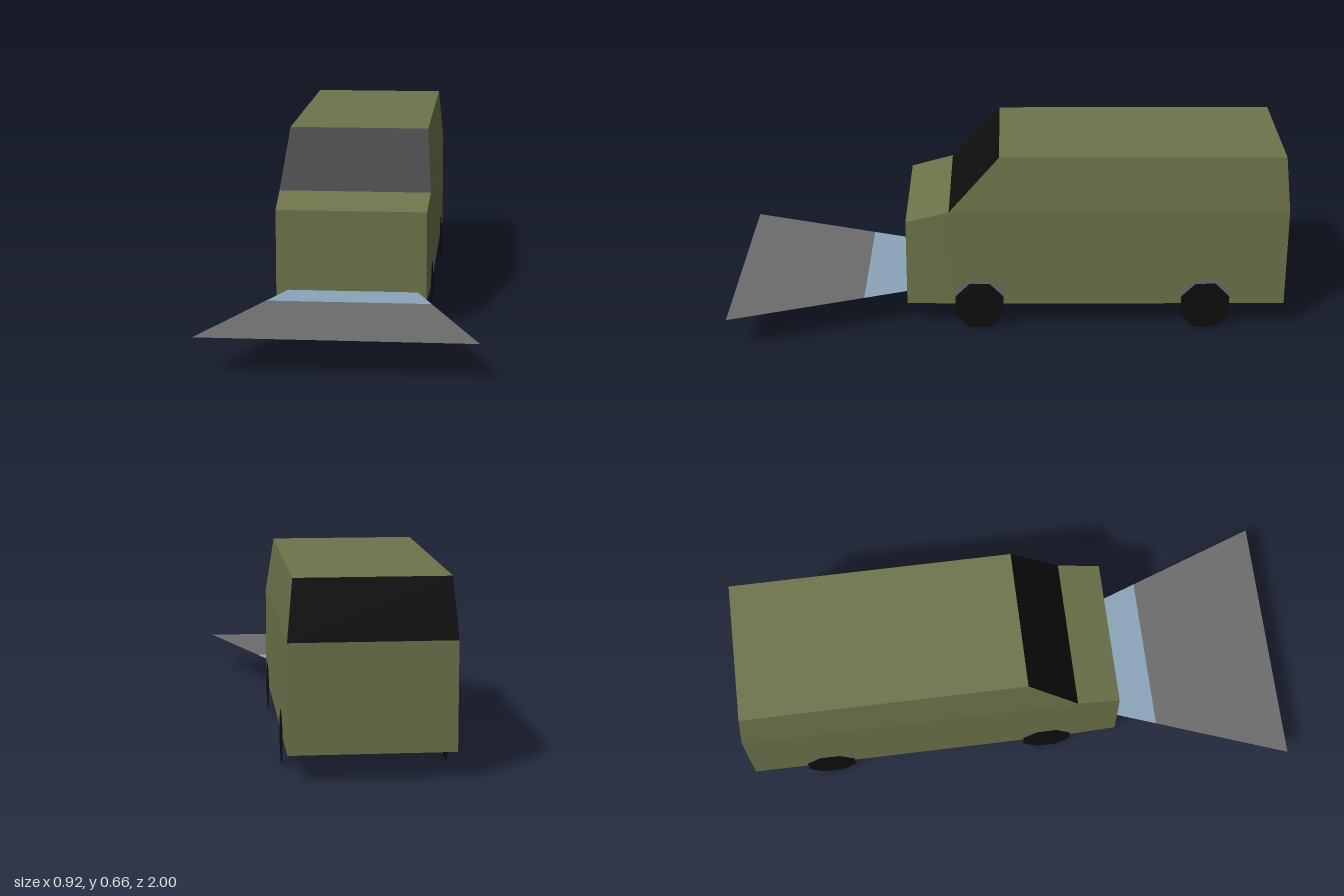
import * as THREE from 'three';

const mat = (name, color, side = THREE.FrontSide) => {
  const m = new THREE.MeshStandardMaterial({ color, side });
  m.name = name;
  return m;
};

// Flat convex panel from corners listed counter-clockwise as seen from outside
function panel(name, corners, material) {
  const pos = [];
  for (let i = 1; i < corners.length - 1; i++) pos.push(...corners[0], ...corners[i], ...corners[i + 1]);
  const geo = new THREE.BufferGeometry();
  geo.setAttribute('position', new THREE.Float32BufferAttribute(pos, 3));
  geo.computeVertexNormals();
  const mesh = new THREE.Mesh(geo, material);
  mesh.name = name;
  return mesh;
}

export function createModel() {
  const olive = mat('olivePaint', 0x6d744a);
  const black = mat('black', 0x0e0e0e, THREE.DoubleSide);
  const grey = mat('grey', 0x6c6c6c, THREE.DoubleSide);
  const blue = mat('paleBlue', 0x8ba3b9, THREE.DoubleSide);

  const model = new THREE.Group();
  model.name = 'van';
  const body = new THREE.Group();
  body.name = 'body';
  body.position.x = -0.0055;
  model.add(body);

  // Body outline from front bottom over the roof to rear bottom: [z, y, half width]
  const outline = [
    [0.37, 0.095, 0.267], [0.37, 0.417, 0.267], [0.215, 0.457, 0.2725], [0.035, 0.66, 0.2535],
    [-0.98, 0.66, 0.2535], [-1, 0.457, 0.2725], [-1, 0.095, 0.2725],
  ];
  const point = ([z, y, w], s) => [s * w, y, z];

  // Panels across the width
  const skins = [
    ['nose', olive], ['bonnet', olive], ['windscreen', black], ['roof', olive],
    ['rearWindow', black], ['tailgate', olive], ['underside', grey],
  ];
  skins.forEach(([name, material], i) => {
    const a = outline[i], b = outline[(i + 1) % outline.length];
    body.add(panel(name, [point(a, -1), point(a, 1), point(b, 1), point(b, -1)], material));
  });

  // Sides: tapered front wing, straight lower side, and upper side leaning inwards
  const [noseBottom, noseTop, beltFront, roofFront, roofBack, beltBack, tailBottom] = outline;
  const sill = [0.215, 0.095, 0.2725];
  const sideParts = {
    Wing: [noseBottom, sill, beltFront, noseTop],
    LowerSide: [sill, tailBottom, beltBack, beltFront],
    UpperSide: [beltFront, beltBack, roofBack, roofFront],
  };
  for (const s of [1, -1]) {
    const label = s > 0 ? 'left' : 'right';
    for (const [name, pts] of Object.entries(sideParts)) {
      const corners = pts.map((p) => point(p, s));
      body.add(panel(label + name, s > 0 ? corners : corners.reverse(), olive));
    }

    // Flat eight-sided wheels with a thin grey arch behind the upper half
    for (const [end, z] of [['Front', 0.107], ['Rear', -0.713]]) {
      const wheel = new THREE.Mesh(new THREE.CircleGeometry(0.095, 8, Math.PI / 8), black);
      wheel.name = label + end + 'Wheel';
      wheel.rotation.y = s * Math.PI / 2;
      wheel.position.set(s * 0.2755, 0.0878, z);
      const arch = new THREE.Mesh(new THREE.RingGeometry(0.08, 0.103, 8, 1, Math.PI / 8, Math.PI * 0.75), grey);
      arch.name = label + end + 'WheelArch';
      arch.rotation.y = s * Math.PI / 2;
      arch.position.set(s * 0.274, 0.0878, z);
      body.add(wheel, arch);
    }
  }

  // Flat widening sheet in front of the nose
  const sheet = (name, z0, w0, z1, w1, material) =>
    panel(name, [[-w0, 0.128, z0], [-w1, 0.128, z1], [w1, 0.128, z1], [w0, 0.128, z0]], material);
  model.add(sheet('innerSheet', 0.365, 0.229, 0.525, 0.287, blue));
  model.add(sheet('outerSheet', 0.525, 0.287, 1, 0.46, grey));
  return model;
}
